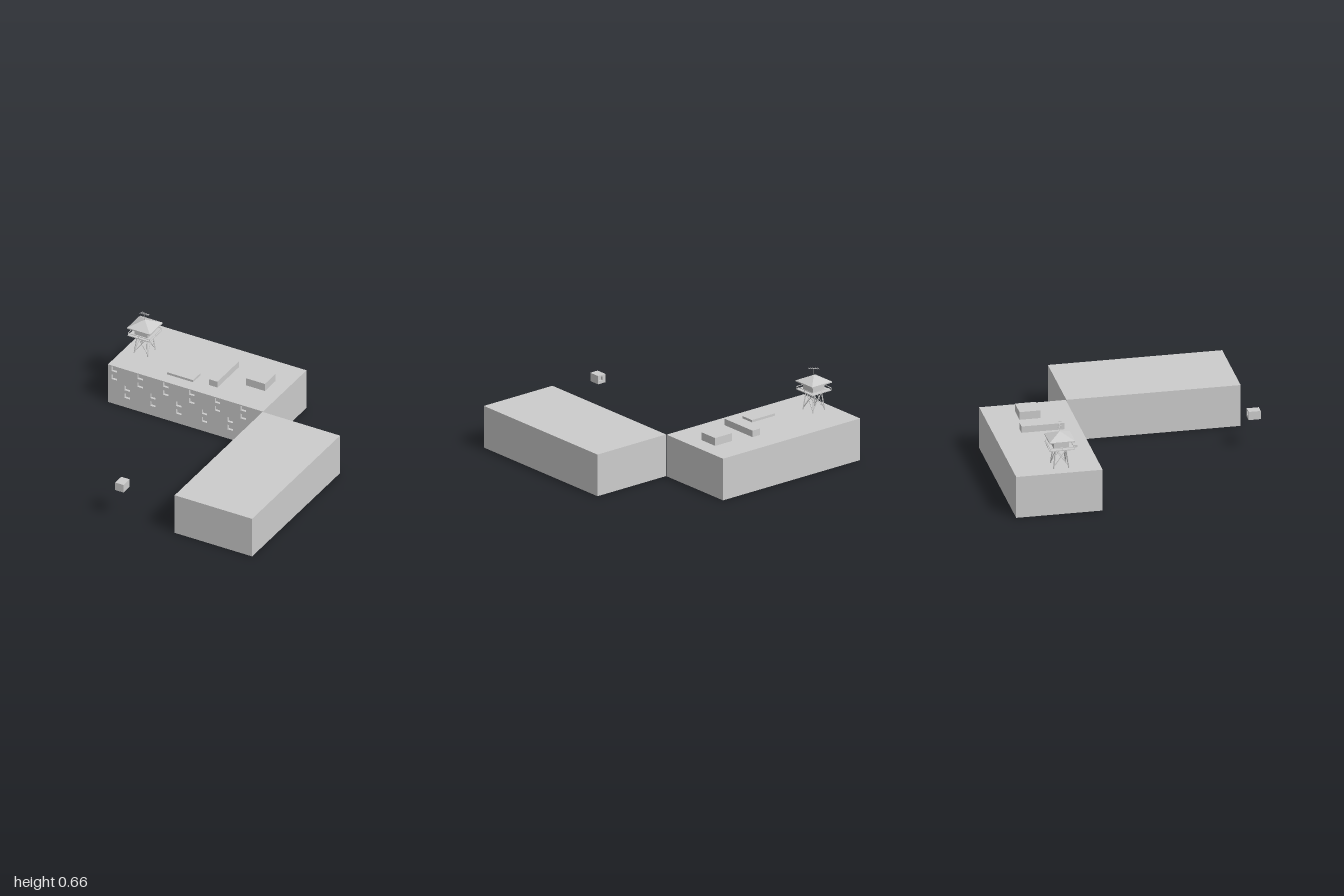
import * as THREE from 'three';

const grey = new THREE.MeshStandardMaterial({ color: 0xcccccc, flatShading: true });

function add(parent, name, geometry) {
  const mesh = new THREE.Mesh(geometry, grey);
  mesh.name = name;
  parent.add(mesh);
  return mesh;
}

// box given by its lower and upper corners
function block(parent, name, [x0, y0, z0], [x1, y1, z1]) {
  const mesh = add(parent, name, new THREE.BoxGeometry(x1 - x0, y1 - y0, z1 - z0));
  mesh.position.set((x0 + x1) / 2, (y0 + y1) / 2, (z0 + z1) / 2);
  return mesh;
}

// square bar from one point to another
function bar(parent, name, a, b, t) {
  const from = new THREE.Vector3(...a), to = new THREE.Vector3(...b);
  const mesh = add(parent, name, new THREE.BoxGeometry(t, t, from.distanceTo(to)));
  mesh.position.copy(from).lerp(to, 0.5);
  mesh.lookAt(to);
  return mesh;
}

// upright wall panel with rectangular openings [centre x, centre y, width, height]
function wall(parent, name, [x0, y0, x1, y1], openings, z, depth) {
  const rect = (P, l, b, r, t) =>
    new P([[l, b], [r, b], [r, t], [l, t]].map(p => new THREE.Vector2(...p)));
  const shape = rect(THREE.Shape, x0, y0, x1, y1);
  for (const [x, y, w, h] of openings)
    shape.holes.push(rect(THREE.Path, x - w / 2, y - h / 2, x + w / 2, y + h / 2));
  const mesh = add(parent, name, new THREE.ExtrudeGeometry(shape, { depth, bevelEnabled: false }));
  mesh.position.z = z;
  return mesh;
}

function createTower() {
  const tower = new THREE.Group();
  tower.name = 'watchtower';
  const corners = [[-1, -1], [1, -1], [1, 1], [-1, 1]];

  corners.forEach(([x, z], i) => {
    const [nx, nz] = corners[(i + 1) % 4];
    const foot = 0.056, head = 0.038, edge = 0.09;
    // splayed legs with crossed braces on each side
    bar(tower, 'leg', [x * foot, 0, z * foot], [x * head, 0.156, z * head], 0.008);
    bar(tower, 'brace', [x * 0.054, 0.015, z * 0.054], [nx * 0.04, 0.14, nz * 0.04], 0.004);
    bar(tower, 'brace', [nx * 0.054, 0.015, nz * 0.054], [x * 0.04, 0.14, z * 0.04], 0.004);
    // railing around the deck
    bar(tower, 'rail', [x * edge, 0.176, z * edge], [nx * edge, 0.176, nz * edge], 0.004);
    for (const t of [0, 0.5]) {
      const px = (x + (nx - x) * t) * edge, pz = (z + (nz - z) * t) * edge;
      bar(tower, 'railPost', [px, 0.156, pz], [px, 0.176, pz], 0.003);
    }
  });

  block(tower, 'deck', [-0.092, 0.153, -0.092], [0.092, 0.159, 0.092]);
  block(tower, 'cabin', [-0.056, 0.159, -0.056], [0.056, 0.217, 0.056]);

  // pyramid roof with a thin eave
  block(tower, 'eave', [-0.095, 0.215, -0.095], [0.095, 0.224, 0.095]);
  const roof = add(tower, 'roof', new THREE.ConeGeometry(0.095 * Math.SQRT2, 0.048, 4));
  roof.rotation.y = Math.PI / 4;
  roof.position.y = 0.248;

  // aerial: mast, tilted boom and cross elements
  bar(tower, 'mast', [0, 0.268, 0], [0, 0.324, 0], 0.003);
  const a = new THREE.Vector3(-0.04, 0.314, -0.012), b = new THREE.Vector3(0.042, 0.33, 0.012);
  bar(tower, 'aerialBoom', a.toArray(), b.toArray(), 0.003);
  const across = new THREE.Vector3(-0.28, 0, 0.96);
  for (let i = 0; i < 6; i++) {
    const c = a.clone().lerp(b, 0.05 + i * 0.18), half = 0.017 - i * 0.0015;
    bar(tower, 'aerialElement', c.clone().addScaledVector(across, -half).toArray(),
      c.clone().addScaledVector(across, half).toArray(), 0.0025);
  }
  return tower;
}

export function createModel() {
  const model = new THREE.Group();
  model.name = 'buildings';

  // windowed block: solid body and a front wall with recessed windows
  block(model, 'mainBody', [-0.975, 0, -1], [0.325, 0.325, -0.375]);
  const windows = [];
  for (let i = 0; i < 6; i++) {
    const x = -0.922 + i * 0.2165;
    for (const y of [0.297, 0.228]) windows.push([x, y, 0.045, 0.04]);
    for (const y of [0.165, 0.099]) windows.push([x + 0.108, y, 0.045, 0.04]);
  }
  wall(model, 'windowWall', [-0.975, 0, 0.325, 0.325], windows, -0.375, 0.02);

  // plain side block
  block(model, 'sideBlock', [0.325, 0, -0.35], [0.975, 0.325, 0.95]);

  // roof units
  block(model, 'lowRoofUnit', [-0.535, 0.325, -0.56], [-0.315, 0.343, -0.45]);
  block(model, 'longRoofUnit', [-0.195, 0.325, -0.795], [-0.125, 0.375, -0.475]);
  block(model, 'squareRoofUnit', [0.04, 0.325, -0.76], [0.2, 0.386, -0.605]);

  const tower = createTower();
  tower.position.set(-0.83, 0.325, -0.645);
  model.add(tower);

  // detached small box with a recess in its back
  block(model, 'smallBox', [-0.145, 0.25, 0.925], [-0.075, 0.315, 1]);
  wall(model, 'smallBoxBack', [-0.145, 0.25, -0.075, 0.315], [[-0.1, 0.288, 0.03, 0.03]], 0.91, 0.015);

  return model;
}
